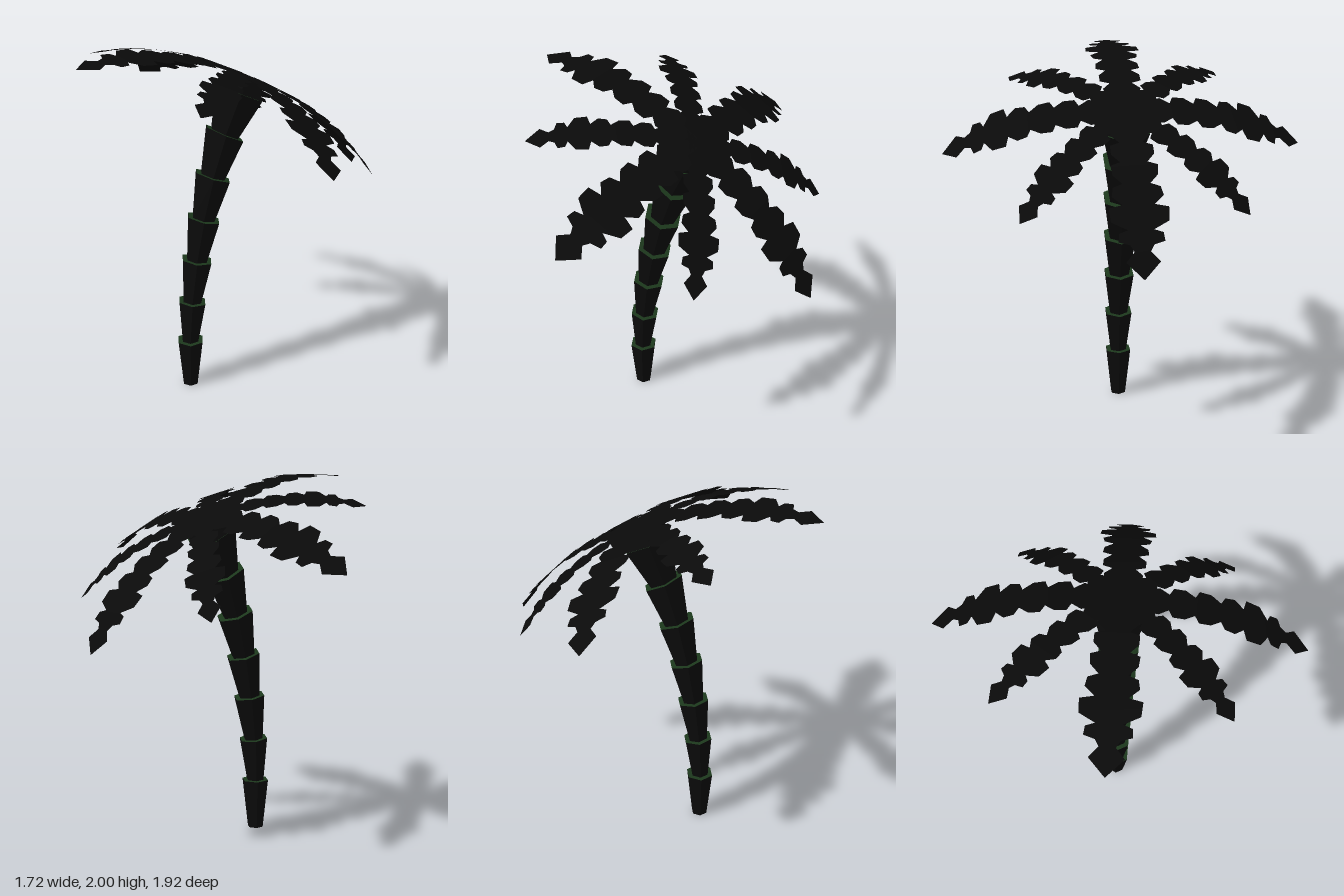
import * as THREE from 'three';

const material = (name, color, extra = {}) => Object.assign(new THREE.MeshStandardMaterial({ color, ...extra }), { name });

// Trunk rings: top centre x, y, lean in radians, top radius, bottom radius
const RINGS = [
  [-0.2375, 0.28, 0.0, 0.0775, 0.045],
  [-0.2225, 0.525, 0.12, 0.083, 0.05],
  [-0.19, 0.775, 0.17, 0.091, 0.056],
  [-0.145, 1.015, 0.26, 0.098, 0.062],
  [-0.085, 1.2525, 0.36, 0.107, 0.068],
  [-0.01, 1.4825, 0.464, 0.118, 0.074],
  [0.08, 1.70, 0.464, 0.145, 0.085],
];
const LEAN = 0.464;

// Toothed frond outline: distance from the crown, half width
const OUTLINE = [
  [0, 0.04], [0.1, 0.04], [0.13, 0.09], [0.19, 0.1], [0.24, 0.06], [0.26, 0.11], [0.32, 0.11],
  [0.37, 0.07], [0.39, 0.12], [0.45, 0.115], [0.5, 0.07], [0.52, 0.12], [0.57, 0.13],
  [0.615, 0.08], [0.63, 0.15], [0.7, 0.145], [0.74, 0.065], [0.755, 0.11], [0.795, 0.115],
  [0.81, 0.06], [0.84, 0.04], [0.885, 0.085], [0.96, 0.001],
];

// Hexagonal flared segment whose two ends lean separately
function segmentGeometry(base, baseLean, baseRadius, top, topLean, topRadius) {
  const geo = new THREE.CylinderGeometry(1, 1, 1, 6, 1, false, Math.PI / 2).toNonIndexed();
  const p = geo.attributes.position;
  for (let i = 0; i < p.count; i++) {
    const isTop = p.getY(i) > 0;
    const [cx, cy] = isTop ? top : base;
    const lean = isTop ? topLean : baseLean;
    const r = isTop ? topRadius : baseRadius;
    const x = p.getX(i) * r;
    p.setXYZ(i, cx + x * Math.cos(lean), cy - x * Math.sin(lean), p.getZ(i) * r);
  }
  geo.computeVertexNormals();
  return geo;
}

// Flat drooping blade along +x
function frondGeometry(lengthScale, widthScale, drop) {
  const positions = [], index = [];
  OUTLINE.forEach(([r, w], i) => {
    const y = -drop * Math.pow(r / 0.96, 2.5);
    positions.push(r * lengthScale, y, w * widthScale, r * lengthScale, y, -w * widthScale);
    if (i > 0) {
      const a = 2 * i - 2;
      index.push(a, a + 2, a + 1, a + 1, a + 2, a + 3);
    }
  });
  const geo = new THREE.BufferGeometry();
  geo.setAttribute('position', new THREE.Float32BufferAttribute(positions, 3));
  geo.setIndex(index);
  geo.computeVertexNormals();
  return geo;
}

export function createModel() {
  const model = new THREE.Group();
  model.name = 'palmTree';
  const bark = material('bark black', 0x0b0b0b);
  const rim = material('rim dark green', 0x1c381c);
  const leaf = material('leaf black', 0x0a0a0a, { side: THREE.DoubleSide });

  // Trunk of stacked flared segments
  const trunk = new THREE.Group();
  trunk.name = 'trunk';
  let base = [-0.24, 0], baseLean = 0;
  RINGS.forEach(([x, y, lean, topRadius, baseRadius], i) => {
    const geo = segmentGeometry(base, baseLean, baseRadius, [x, y], lean, topRadius);
    const mesh = new THREE.Mesh(geo, [bark, rim, bark]);
    mesh.name = `trunkSegment${i + 1}`;
    trunk.add(mesh);
    base = [x, y];
    baseLean = lean;
  });
  model.add(trunk);

  // Leaning crown
  const crown = new THREE.Group();
  crown.name = 'crown';
  crown.position.set(0.116, 1.787, 0);
  crown.rotation.z = -LEAN;
  const heartGeo = new THREE.CylinderGeometry(0.1, 0.145, 0.085, 6, 1, false, Math.PI / 2).toNonIndexed();
  heartGeo.computeVertexNormals();
  const heart = new THREE.Mesh(heartGeo, bark);
  heart.name = 'crownHeart';
  heart.position.y = -0.05;
  crown.add(heart);

  // Long fronds alternate with short ones
  const longFrond = frondGeometry(1, 1, 0.26);
  const shortFrond = frondGeometry(0.86, 0.72, 0.22);
  for (let i = 0; i < 8; i++) {
    const frond = new THREE.Mesh(i % 2 ? shortFrond : longFrond, leaf);
    frond.name = `frond${i + 1}`;
    frond.rotation.y = (i * Math.PI) / 4;
    crown.add(frond);
  }
  model.add(crown);
  return model;
}
